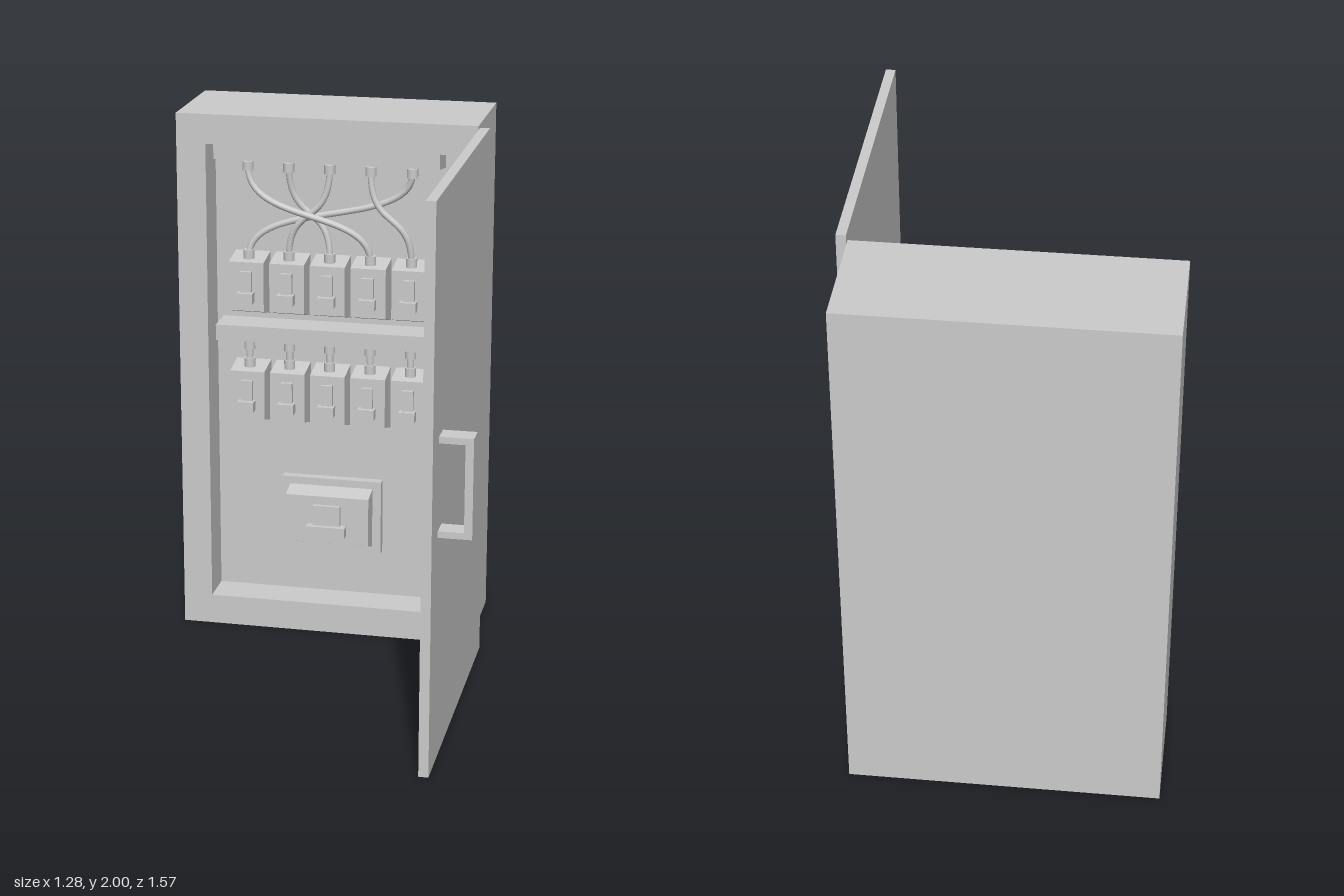
import * as THREE from 'three';

const mat = new THREE.MeshStandardMaterial({ color: 0xcccccc });
const BACK = -0.505; // inner back wall of the recess

function add(parent, name, geo) {
  const m = new THREE.Mesh(geo, mat);
  m.name = name;
  parent.add(m);
  return m;
}

// Box given by its min and max corners
function box(parent, name, x0, x1, y0, y1, z0, z1) {
  const m = add(parent, name, new THREE.BoxGeometry(x1 - x0, y1 - y0, z1 - z0));
  m.position.set((x0 + x1) / 2, (y0 + y1) / 2, (z0 + z1) / 2);
  return m;
}

// Box whose top and bottom taper towards the front
function taperedBox(parent, name, x0, x1, y0, y1, z0, z1, top, bottom) {
  const m = box(parent, name, x0, x1, y0, y1, z0, z1);
  const p = m.geometry.attributes.position;
  for (let i = 0; i < p.count; i++) {
    if (p.getZ(i) > 0) p.setY(i, p.getY(i) + (p.getY(i) > 0 ? -top : bottom));
  }
  m.geometry = m.geometry.toNonIndexed();
  m.geometry.computeVertexNormals();
  return m;
}

function cylinder(parent, name, r, h, x, y, z) {
  const m = add(parent, name, new THREE.CylinderGeometry(r, r, h, 12));
  m.position.set(x, y, z);
  return m;
}

// Breaker with a two-step toggle; w is body width, tw the toggle width
function breaker(parent, name, x, y, w, tw, back) {
  const g = new THREE.Group();
  g.name = name;
  taperedBox(g, 'breakerBody', x - w / 2, x + w / 2, y, y + 0.24, back, -0.39, 0.017, 0.036);
  box(g, 'toggleStem', x - tw * 0.35, x + tw * 0.35, y + 0.11, y + 0.19, -0.4, -0.373);
  box(g, 'toggleGrip', x - tw / 2, x + tw / 2, y + 0.073, y + 0.112, -0.4, -0.353);
  parent.add(g);
}

export function createModel() {
  const model = new THREE.Group();
  model.name = 'electricalCabinet';

  // Cabinet: solid back with a framed opening in front
  const cabinet = new THREE.Group();
  cabinet.name = 'cabinet';
  model.add(cabinet);
  const frame = new THREE.Shape([[-0.64, 0], [0.475, 0], [0.475, 2], [-0.64, 2]].map(p => new THREE.Vector2(...p)));
  frame.holes.push(new THREE.Path([[-0.53, 0.115], [-0.53, 1.89], [0.36, 1.89], [0.36, 0.115]].map(p => new THREE.Vector2(...p))));
  const depth = -0.36 - BACK;
  add(cabinet, 'cabinetFrame', new THREE.ExtrudeGeometry(frame, { depth, bevelEnabled: false })).position.z = BACK;
  box(cabinet, 'cabinetBack', -0.64, 0.475, 0, 2, -0.785, BACK);

  // Bus rails
  for (const y of [1.81, 1.12]) {
    taperedBox(model, 'busRail', -0.505, 0.335, y, y + 0.08, BACK, -0.377, 0, 0.02);
  }

  // Two rows of breakers with cable plugs
  const xs = [0, 1, 2, 3, 4].map(i => -0.389 + i * 0.1535);
  const cz = -0.435;
  for (const x of xs) {
    breaker(model, 'breaker', x, 1.22, 0.132, 0.062, BACK);
    breaker(model, 'breaker', x, 0.797, 0.132, 0.062, BACK);
    for (const y of [1.8, 1.465, 1.115, 1.045]) cylinder(model, 'cablePlug', 0.021, 0.034, x, y, cz);
    cylinder(model, 'shortCable', 0.014, 0.1, x, 1.08, cz);
  }

  // Crossing cables from the top rail to the upper row
  [3, 2, 1, 4, 0].forEach((to, from) => {
    const a = xs[from], b = xs[to];
    const z = cz + [0.028, -0.02, 0.01, 0.02, -0.035][from];
    const curve = new THREE.CubicBezierCurve3(
      new THREE.Vector3(a, 1.8, cz), new THREE.Vector3(a, 1.58, z),
      new THREE.Vector3(b, 1.67, z), new THREE.Vector3(b, 1.46, cz));
    add(model, 'cable', new THREE.TubeGeometry(curve, 28, 0.012, 10));
  });

  // Main breaker on its backing plate
  box(model, 'mainBreakerPlate', -0.275, 0.11, 0.295, 0.585, BACK, -0.47);
  breaker(model, 'mainBreaker', -0.083, 0.318, 0.32, 0.15, -0.48);

  // Open door with its handle
  const door = new THREE.Group();
  door.name = 'door';
  model.add(door);
  box(door, 'doorPanel', 0.485, 0.52, 0, 2, -0.333, 0.783);
  box(door, 'handleGrip', 0.608, 0.636, 0.825, 1.18, 0.59, 0.665);
  for (const y of [0.825, 1.157]) box(door, 'handleArm', 0.518, 0.61, y, y + 0.023, 0.59, 0.665);

  // Hinges
  for (const y of [0.31, 1.7]) {
    box(model, 'cabinetHingeLeaf', 0.474, 0.493, y - 0.05, y + 0.05, -0.46, -0.365);
    cylinder(model, 'hingeKnuckle', 0.016, 0.1, 0.492, y, -0.358);
    box(model, 'doorHingeLeaf', 0.492, 0.516, y - 0.05, y + 0.05, -0.353, -0.33);
  }
  return model;
}
